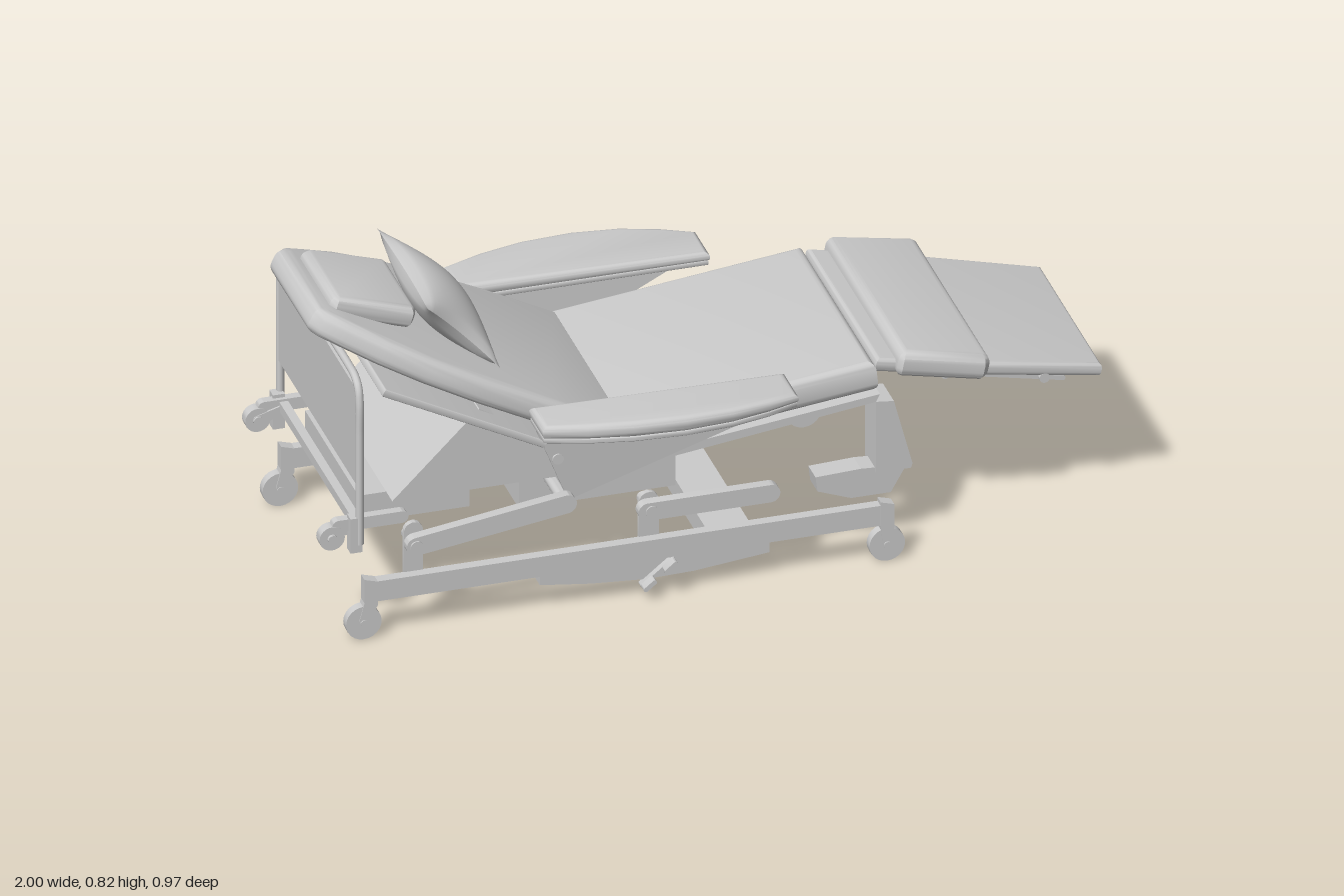
import * as THREE from 'three';
import { mergeGeometries, toCreasedNormals } from 'three/addons/utils/BufferGeometryUtils.js';

const mat = new THREE.MeshStandardMaterial({ color: 0xcccccc, side: THREE.DoubleSide });

export function createModel() {
  const model = new THREE.Group();

  const add = (name, geo) => {
    const m = new THREE.Mesh(geo, mat);
    m.name = name;
    model.add(m);
    return m;
  };
  const shapeOf = pts => new THREE.Shape(pts.map(p => new THREE.Vector2(p[0], p[1])));
  const box = (name, x0, x1, y0, y1, z0, z1) =>
    add(name, new THREE.BoxGeometry(x1 - x0, y1 - y0, Math.abs(z1 - z0))
      .translate((x0 + x1) / 2, (y0 + y1) / 2, (z0 + z1) / 2));
  // side profile in x/y extruded across z
  const prism = (name, pts, z0, z1) =>
    add(name, new THREE.ExtrudeGeometry(shapeOf(pts), { depth: Math.abs(z1 - z0), bevelEnabled: false })
      .translate(0, 0, Math.min(z0, z1)));
  // cylinder lying across the bed
  const pin = (name, x, y, z0, z1, r) =>
    add(name, toCreasedNormals(new THREE.CylinderGeometry(r, r, Math.abs(z1 - z0), 24)
      .rotateX(Math.PI / 2).translate(x, y, (z0 + z1) / 2), 0.6));
  // round-ended flat bar
  const link = (name, x0, y0, x1, y1, r, z0, z1) => {
    const a = Math.atan2(y1 - y0, x1 - x0), s = new THREE.Shape();
    s.absarc(x0, y0, r, a + Math.PI / 2, a + Math.PI * 1.5, false);
    s.absarc(x1, y1, r, a - Math.PI / 2, a + Math.PI / 2, false);
    const g = new THREE.ExtrudeGeometry(s, { depth: Math.abs(z1 - z0), bevelEnabled: false, curveSegments: 10 });
    return add(name, toCreasedNormals(g.translate(0, 0, Math.min(z0, z1)), 0.6));
  };
  // padded slab from a plan outline [x, z]; its top lies on local y = 0, then it is tilted and placed
  const cushion = (name, plan, h, bevel, x, y, angle) => {
    const g = new THREE.ExtrudeGeometry(shapeOf(plan.map(([u, z]) => [u, -z])), {
      depth: h - 2 * bevel, bevelThickness: bevel, bevelSize: bevel, bevelOffset: -bevel, bevelSegments: 5
    });
    g.translate(0, 0, bevel - h).rotateX(-Math.PI / 2).rotateZ(angle).translate(x, y, 0);
    return add(name, toCreasedNormals(g, 0.6));
  };
  const mirrorPlan = half => [...half, ...half.map(([u, z]) => [u, -z]).reverse()];

  // backrest, its wide backing board and headrest pad
  cushion('backrest', mirrorPlan([[0.015, 0.295], [-0.2, 0.303], [-0.38, 0.297], [-0.53, 0.277], [-0.65, 0.245],
    [-0.74, 0.207], [-0.8, 0.18], [-0.822, 0.155]]), 0.07, 0.025, -0.22, 0.455, -0.465);
  cushion('backrestBoard', mirrorPlan([[-0.21, 0.333], [-0.67, 0.333]]), 0.02, 0.004, -0.24, 0.362, -0.475);
  cushion('headrest', mirrorPlan([[0, 0.12], [-0.01, 0.135], [-0.21, 0.135], [-0.225, 0.12]]), 0.06, 0.022, -0.69, 0.762, -0.3);

  // scatter pillow with drawn-out corners
  const half = turn => {
    const g = new THREE.PlaneGeometry(2, 2, 24, 20), p = g.attributes.position;
    for (let i = 0; i < p.count; i++) {
      const a = p.getX(i), b = p.getY(i), ea = 1 - a * a, eb = 1 - b * b;
      p.setXYZ(i, 0.207 * a * (1 - 0.14 * eb), 0.133 * b * (1 - 0.1 * ea), 0.058 * Math.pow(Math.max(ea * eb, 0), 0.55));
    }
    g.rotateY(turn).computeVertexNormals();
    return g;
  };
  add('pillow', mergeGeometries([half(0), half(Math.PI)])
    .rotateY(Math.PI / 2).rotateZ(0.76).translate(-0.6, 0.705, 0));

  // seat and its frame
  cushion('seat', [[-0.04, -0.305], [0.635, -0.305], [0.635, 0.305], [-0.04, 0.305]], 0.082, 0.022, -0.22, 0.452, 0.115);
  prism('seatFrame', [[-0.2, 0.32], [0.42, 0.4], [0.43, 0.42], [-0.2, 0.345]], -0.28, 0.28);

  // leg rest board and calf pad
  cushion('legRest', mirrorPlan([[0, 0.29], [0.3, 0.28], [0.595, 0.255]]), 0.035, 0.012, 0.42, 0.522, -0.215);
  cushion('calfPad', mirrorPlan([[0, 0.3], [0.012, 0.31], [0.22, 0.315], [0.235, 0.3]]), 0.07, 0.025, 0.475, 0.542, -0.2);

  // wedge and chassis below the bed
  prism('backSupport', [[-0.58, 0.54], [-0.8, 0.32], [-0.38, 0.32], [-0.38, 0.42]], -0.27, 0.27);
  box('headBox', -0.87, -0.59, 0.245, 0.32, -0.22, 0.22);
  box('liftBox', -0.455, -0.06, 0.2, 0.32, -0.19, 0.19);
  box('crossBeam', -0.01, 0.1, 0.065, 0.12, -0.33, 0.33);
  pin('armrestShaft', -0.4, 0.405, -0.335, 0.335, 0.014);

  // headboard with bent tube frame
  box('headboardPanel', -0.906, -0.894, 0.41, 0.675, -0.325, 0.325);
  const bend = [[0.25, 0.328], [0.4, 0.328], [0.55, 0.328], [0.64, 0.328], [0.676, 0.317], [0.694, 0.288], [0.698, 0.24], [0.698, 0.1]];
  const loop = [...bend, ...bend.map(([y, z]) => [y, -z]).reverse()];
  add('headboardTube', new THREE.TubeGeometry(
    new THREE.CatmullRomCurve3(loop.map(([y, z]) => new THREE.Vector3(-0.9, y, z))), 100, 0.01, 10));
  box('headCrossbar', -0.912, -0.89, 0.285, 0.31, -0.32, 0.32);

  for (const s of [1, -1]) {
    // armrest: tray, pad thinning toward its ends, and slanted support plate
    const arm = inset => [[-0.465 + inset, 0.305 + inset], [0.18 - inset, 0.305 + inset], [0.18 - inset, 0.425 - inset],
      [0.1, 0.453 - inset], [0, 0.476 - inset], [-0.12, 0.484 - inset], [-0.25, 0.475 - inset], [-0.36, 0.453 - inset],
      [-0.465 + inset, 0.42 - inset]].map(([x, z]) => [x, s * z]);
    cushion('armrestTray', arm(0.003), 0.014, 0.003, 0, 0.517, 0);
    const pad = cushion('armrestPad', arm(0), 0.042, 0.017, 0, 0.555, 0).geometry.attributes.position;
    for (let i = 0; i < pad.count; i++)
      pad.setY(i, 0.513 + (pad.getY(i) - 0.513) * (1 - 3 * (pad.getX(i) + 0.2) ** 2));
    const plate = prism('armrestSupport', [[-0.46, 0.505], [-0.43, 0.43], [-0.37, 0.28], [0.18, 0.505]], 0, s * 0.012);
    const p = plate.geometry.attributes.position;
    for (let i = 0; i < p.count; i++)
      p.setZ(i, p.getZ(i) + s * (0.3 + (p.getX(i) + 0.46) * 0.09 + (p.getY(i) - 0.28) * 0.1));
    plate.geometry.computeVertexNormals();

    // floor rail with bowed underside cover and two-ended pedal
    box('rail', -0.88, 0.41, 0.1, 0.155, s * 0.33, s * 0.357);
    prism('railCover', [[-0.45, 0.1], [-0.45, 0.07], [-0.32, 0.053], [-0.18, 0.043], [-0.06, 0.046], [0.13, 0.066], [0.13, 0.1]],
      s * 0.3, s * 0.345);
    link('pedal', -0.195, 0.034, -0.117, 0.097, 0.004, s * 0.34, s * 0.362);
    link('pedalTread', -0.193, 0.036, -0.172, 0.053, 0.006, s * 0.36, s * 0.385);
    link('pedalTread', -0.14, 0.078, -0.119, 0.095, 0.006, s * 0.36, s * 0.385);

    // lifting posts and links
    link('headPost', -0.765, 0.15, -0.765, 0.265, 0.024, s * 0.318, s * 0.332);
    link('footPost', -0.17, 0.15, -0.17, 0.25, 0.025, s * 0.318, s * 0.332);
    link('headLink', -0.765, 0.235, -0.385, 0.29, 0.025, s * 0.332, s * 0.358);
    link('footLink', -0.18, 0.235, 0.13, 0.235, 0.024, s * 0.332, s * 0.358);
    pin('headPivot', -0.765, 0.235, s * 0.28, s * 0.362, 0.016);
    pin('footPivot', -0.17, 0.235, s * 0.28, s * 0.362, 0.016);
    pin('headLinkPivot', -0.385, 0.29, s * 0.19, s * 0.34, 0.016);

    // casters
    for (const x of [-0.88, 0.425]) {
      const wx = x < 0 ? x - 0.018 : x;
      pin('casterWheel', wx, 0.045, s * 0.332, s * 0.356, 0.045);
      pin('casterHub', wx, 0.045, s * 0.327, s * 0.361, 0.009);
      prism('casterFork', [[x - 0.017, 0.165], [x + 0.017, 0.155], [x + 0.017, 0.09], [wx + 0.012, 0.05], [wx - 0.012, 0.05],
        [x - 0.017, 0.1]], s * 0.329, s * 0.358);
    }

    // bumper roller on the head end
    link('bumperBar', -0.95, 0.3, -0.79, 0.3, 0.016, s * 0.295, s * 0.318);
    box('bumperPost', -0.925, -0.895, 0.23, 0.325, s * 0.305, s * 0.335);
    pin('bumperAxle', -0.967, 0.27, s * 0.285, s * 0.328, 0.012);
    pin('bumperRoller', -0.967, 0.27, s * 0.292, s * 0.32, 0.032);
    link('bumperArm', -0.967, 0.27, -0.9, 0.29, 0.013, s * 0.29, s * 0.308);

    // foot-end leg with hooked toe
    prism('footLeg', [[0.42, 0.4], [0.465, 0.395], [0.512, 0.215], [0.508, 0.203], [0.42, 0.203]], s * 0.19, s * 0.28);
    prism('footToe', [[0.27, 0.21], [0.275, 0.17], [0.36, 0.138], [0.46, 0.138], [0.5, 0.208], [0.385, 0.215]], s * 0.21, s * 0.27);
    // slide rods and clips under the leg rest
    link('legRestRod', 0.5, 0.46, 0.9, 0.375, 0.006, s * 0.245, s * 0.257);
    for (const [x, y] of [[0.6, 0.44], [0.85, 0.388]]) pin('rodClip', x, y, s * 0.235, s * 0.267, 0.013);
  }
  return model;
}
